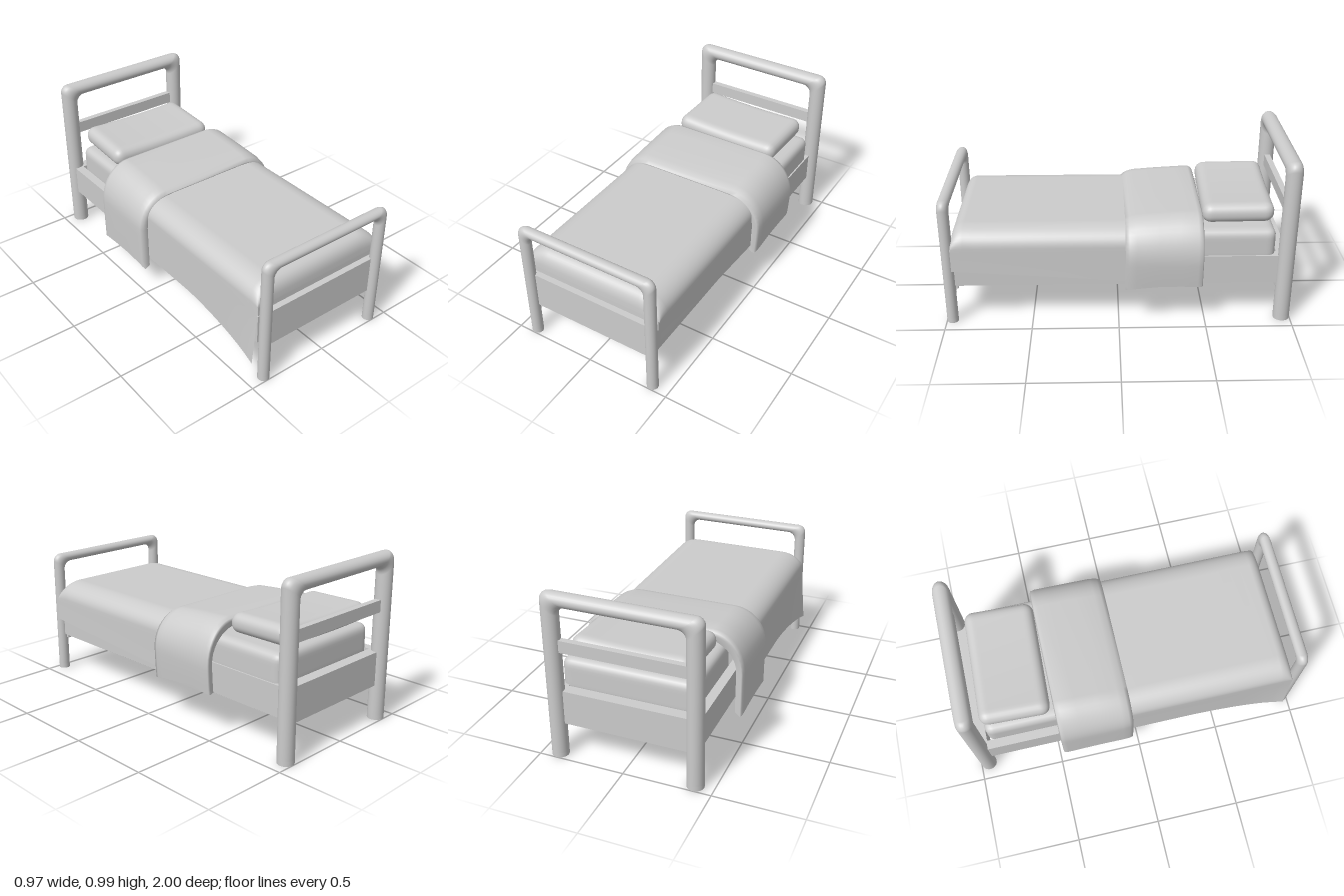
import * as THREE from 'three';
import { mergeVertices } from 'three/addons/utils/BufferGeometryUtils.js';

const material = new THREE.MeshStandardMaterial({ color: 0xcccccc });
const clothMaterial = new THREE.MeshStandardMaterial({ color: 0xcccccc, side: THREE.DoubleSide });
const { lerp, clamp } = THREE.MathUtils;

function addMesh(parent, name, geometry, mat = material) {
  const mesh = new THREE.Mesh(geometry, mat);
  mesh.name = name;
  parent.add(mesh);
  return mesh;
}

// Box given by its two extreme corners
function addBoard(parent, name, [x0, y0, z0], [x1, y1, z1]) {
  const mesh = addMesh(parent, name, new THREE.BoxGeometry(x1 - x0, y1 - y0, z1 - z0));
  mesh.position.set((x0 + x1) / 2, (y0 + y1) / 2, (z0 + z1) / 2);
}

// Smooth skin over rows of [x, y, z] points
function loft(rows) {
  const n = rows[0].length, index = [];
  for (let i = 0; i < rows.length - 1; i++) {
    for (let j = 0; j < n - 1; j++) {
      const a = i * n + j, c = a + n;
      index.push(a, c, a + 1, a + 1, c, c + 1);
    }
  }
  let geometry = new THREE.BufferGeometry();
  geometry.setAttribute('position', new THREE.Float32BufferAttribute(rows.flat(2), 3));
  geometry.setIndex(index);
  geometry = mergeVertices(geometry, 1e-5);
  geometry.computeVertexNormals();
  return geometry;
}

// Finely divided box with rounded edges, then an optional bend of its height
function softBox(w, h, d, r, bend = () => 0) {
  let geometry = new THREE.BoxGeometry(w, h, d, 40, 12, 30);
  geometry.deleteAttribute('normal');
  geometry.deleteAttribute('uv');
  geometry = mergeVertices(geometry, 1e-5);
  const pos = geometry.attributes.position, p = new THREE.Vector3();
  const core = new THREE.Vector3(w / 2 - r, h / 2 - r, d / 2 - r);
  for (let i = 0; i < pos.count; i++) {
    p.fromBufferAttribute(pos, i);
    const q = p.clone().clamp(core.clone().negate(), core);
    p.sub(q).setLength(r).add(q);
    pos.setXYZ(i, p.x, p.y + bend(p.x, p.z), p.z);
  }
  geometry.computeVertexNormals();
  return geometry;
}

// Upside-down U outline with rounded corners, from the -x foot to the +x foot
function archOutline(halfWidth, top, radius, bottom) {
  const points = [[-halfWidth, bottom]];
  for (const side of [-1, 1]) {
    for (let i = 0; i <= 10; i++) {
      const a = (side < 0 ? Math.PI : Math.PI / 2) - (i / 10) * Math.PI / 2;
      points.push([side * (halfWidth - radius) + radius * Math.cos(a), top - radius + radius * Math.sin(a)]);
    }
  }
  points.push([halfWidth, bottom]);
  return points;
}

// Round bent frame on two legs with feet
function makeArch(name, halfWidth, top, r, barHeight, z) {
  const group = new THREE.Group();
  group.name = name;
  const footHeight = 0.028;
  const outer = archOutline(halfWidth, top, 0.045, footHeight);
  const inner = archOutline(halfWidth - 2 * r, top - barHeight, 0.05, footHeight);
  const rows = outer.map(([ox, oy], i) => {
    const [ix, iy] = inner[i], row = [];
    for (let j = 0; j <= 24; j++) {
      const a = j / 24 * Math.PI * 2, t = 0.5 + 0.5 * Math.cos(a);
      row.push([lerp(ix, ox, t), lerp(iy, oy, t), z - r * Math.sin(a)]);
    }
    return row;
  });
  addMesh(group, name + 'Tube', loft(rows));
  for (const side of [-1, 1]) {
    const foot = addMesh(group, name + 'Foot', new THREE.CylinderGeometry(r, r, footHeight, 24));
    foot.position.set(side * (halfWidth - r), footHeight / 2, z);
  }
  return group;
}

// Cloth cross-section: hem, rounded shoulder, flat top, rounded shoulder, hem
function clothSection(z, { top, shoulder, flat, half, hemL, hemR, flareL, flareR }) {
  const halfSection = (sx, hem, flare) => {
    const pts = [];
    for (let i = 0; i <= 6; i++) {
      const t = i / 6;
      pts.push([sx * (half + flare * (1 - t) ** 1.5), lerp(hem, shoulder, t), z]);
    }
    for (let i = 1; i <= 10; i++) {
      const a = i / 10 * Math.PI / 2;
      pts.push([sx * (flat + (half - flat) * Math.cos(a)), shoulder + (top - shoulder) * Math.sin(a), z]);
    }
    return pts;
  };
  return [...halfSection(-1, hemR, flareR), ...halfSection(1, hemL, flareL).reverse()];
}

// Main blanket: the -x side hangs lower and flares out at the foot end
function makeBlanket() {
  const rows = [];
  const addRow = (z, drop) => {
    const foot = clamp((z - 0.35) / 0.6, 0, 1);
    const row = clothSection(z, {
      top: 0.595, shoulder: 0.49, flat: 0.3, half: 0.437,
      hemL: lerp(0.275, 0.35, clamp((z + 0.1) / 1.05, 0, 1)),
      hemR: 0.212 - 0.1 * foot ** 1.4,
      flareL: 0.003, flareR: 0.003 + 0.024 * foot ** 4,
    });
    rows.push(row.map(([x, y, pz]) => [x, y > 0.48 ? 0.48 + (y - 0.48) * drop : y, pz]));
  };
  for (let i = 0; i <= 20; i++) addRow(lerp(-0.44, 0.87, i / 20), 1);
  for (let i = 1; i <= 10; i++) {
    const a = i / 10 * Math.PI / 2;
    addRow(0.87 + 0.073 * Math.sin(a), Math.max(0, Math.cos(a)) ** 0.7);
  }
  return loft(rows);
}

// Turned-back fold: thicker band with edges curling inwards
function makeFold() {
  // z, top, inset, hem on +x, hem on -x
  const stations = [
    [-0.462, 0.6, 0.046, 0.25, 0.165], [-0.475, 0.632, 0.012, 0.25, 0.15], [-0.468, 0.645, 0.004, 0.252, 0.153],
    [-0.445, 0.655, 0, 0.254, 0.158], [-0.35, 0.65, 0, 0.258, 0.165], [-0.22, 0.642, 0, 0.256, 0.168],
    [-0.1, 0.632, 0, 0.245, 0.162], [-0.06, 0.62, 0.004, 0.236, 0.15], [-0.037, 0.607, 0.012, 0.232, 0.14],
    [-0.043, 0.597, 0.046, 0.24, 0.155],
  ];
  return loft(stations.map(([z, top, inset, hemL, hemR]) => clothSection(z, {
    top, shoulder: 0.42, flat: 0.3 - inset, half: 0.487 - inset, hemL, hemR, flareL: -0.01, flareR: -0.002,
  })));
}

export function createModel() {
  const bed = new THREE.Group();
  bed.name = 'bed';

  // End frames
  bed.add(makeArch('headFrame', 0.445, 0.985, 0.0475, 0.08, -0.9525));
  bed.add(makeArch('footFrame', 0.431, 0.766, 0.033, 0.055, 0.967));
  addBoard(bed, 'headSlat', [-0.37, 0.645, -0.97], [0.37, 0.715, -0.935]);

  // Bed box
  addBoard(bed, 'rightRail', [-0.424, 0.235, -0.905], [-0.371, 0.41, 0.935]);
  addBoard(bed, 'leftRail', [0.35, 0.235, -0.905], [0.403, 0.41, 0.935]);
  addBoard(bed, 'footBoard', [-0.39, 0.21, 0.92], [0.39, 0.433, 0.965]);
  addBoard(bed, 'footBoardLip', [-0.42, 0.4, 0.91], [0.42, 0.49, 0.93]);
  addBoard(bed, 'headBoard', [-0.39, 0.21, -0.965], [0.39, 0.41, -0.9]);

  // Bedding: the mattress shows at the head end, the space below the blanket is hollow
  const mattress = addMesh(bed, 'mattress', softBox(0.765, 0.205, 0.54, 0.045));
  mattress.position.set(0.012, 0.4625, -0.62);
  addMesh(bed, 'blanket', makeBlanket(), clothMaterial);
  addMesh(bed, 'blanketFold', makeFold(), clothMaterial);
  const sag = (x, z) => 0.008 * Math.min(1, (x / 0.3) ** 2) - 0.004 - 0.025 * z;
  const pillow = addMesh(bed, 'pillow', softBox(0.685, 0.114, 0.408, 0.053, sag));
  pillow.position.set(-0.003, 0.631, -0.687);
  pillow.rotation.y = -0.03;

  return bed;
}
